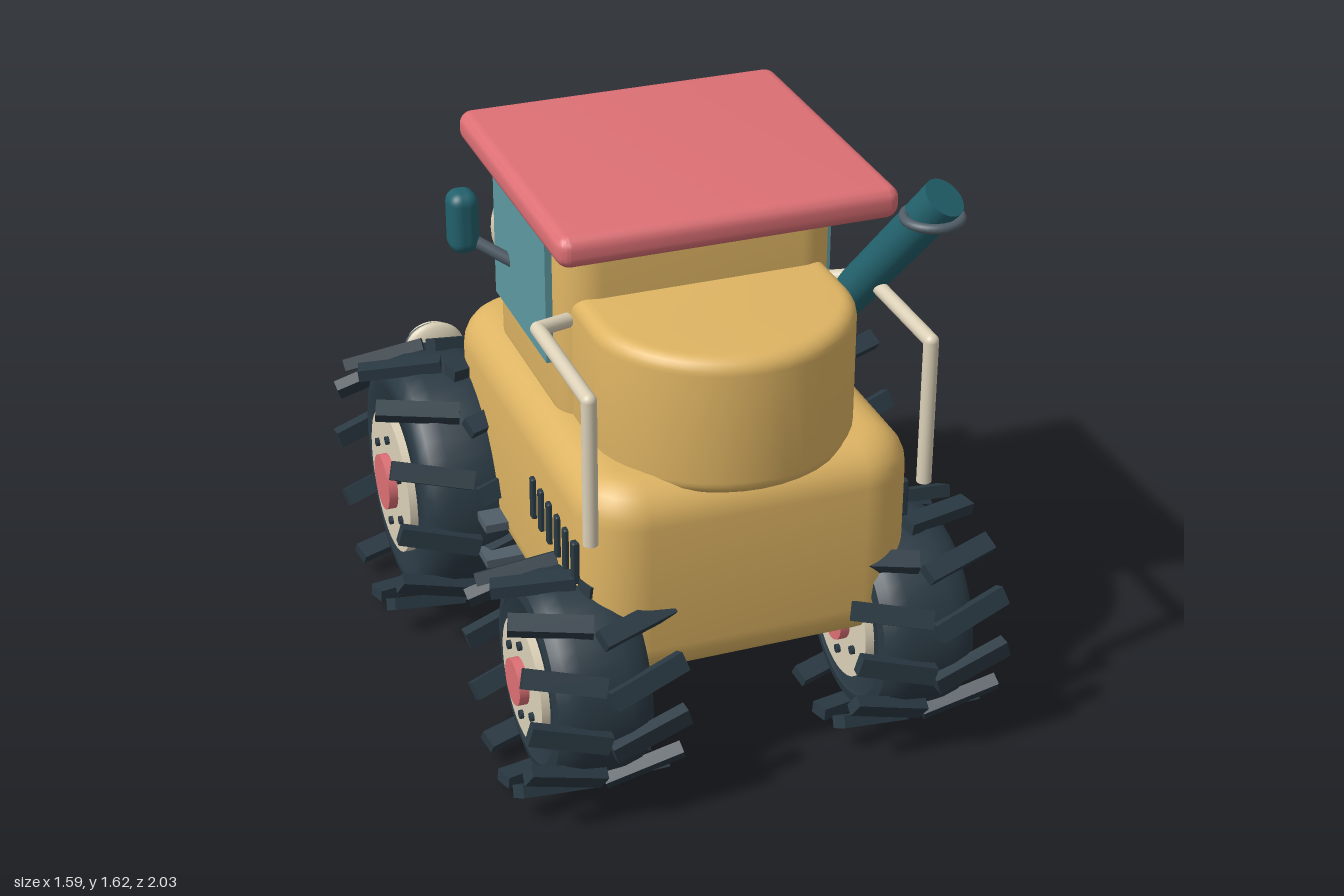
import * as THREE from 'three';
import { toCreasedNormals } from 'three/addons/utils/BufferGeometryUtils.js';
import { RoundedBoxGeometry } from 'three/addons/geometries/RoundedBoxGeometry.js';

const paint = (name, color) => {
  const m = new THREE.MeshStandardMaterial({ color });
  m.name = name;
  return m;
};

export function createModel() {
  const yellow = paint('yellow', 0xdeb463), pink = paint('pink', 0xdd7075);
  const teal = paint('teal', 0x22616c), dark = paint('charcoal', 0x2a3943);
  const slate = paint('slate', 0x515e68), cream = paint('cream', 0xdcd1b8);
  const glass = paint('glass', 0x5e9aa2);
  const root = new THREE.Group();
  const V = (x, y, z) => new THREE.Vector3(x, y, z);

  function add(name, geo, mat, x = 0, y = 0, z = 0, parent = root) {
    const mesh = new THREE.Mesh(geo, mat);
    mesh.name = name;
    mesh.position.set(x, y, z);
    parent.add(mesh);
    return mesh;
  }
  const ball = (name, mat, p, r, parent) => {
    const m = add(name, new THREE.SphereGeometry(1, 28, 18), mat, ...p, parent);
    m.scale.set(...r);
    return m;
  };
  // straight round bar between two points
  function rod(name, mat, a, b, r, r2 = r, sides = 20) {
    const d = b.clone().sub(a);
    const m = add(name, new THREE.CylinderGeometry(r2, r, d.length(), sides), mat, ...a.clone().lerp(b, 0.5));
    m.quaternion.setFromUnitVectors(V(0, 1, 0), d.normalize());
    return m;
  }
  // plan outline raised from y0 to y1 with rounded rims
  function block(name, mat, shape, y0, y1, r) {
    const g = new THREE.ExtrudeGeometry(shape, {
      depth: y1 - y0 - 2 * r, bevelThickness: r, bevelSize: r, bevelOffset: -r, bevelSegments: 6, curveSegments: 10,
    });
    g.translate(0, 0, r);
    g.rotateX(-Math.PI / 2);
    return add(name, toCreasedNormals(g, 0.6), mat, 0, y0, 0);
  }
  // rounded rectangle in plan, shape y is -z
  function plan(hx, z0, z1, r) {
    const s = new THREE.Shape(), a = -z1, b = -z0;
    s.moveTo(hx - r, a);
    s.absarc(hx - r, a + r, r, -Math.PI / 2, 0);
    s.absarc(hx - r, b - r, r, 0, Math.PI / 2);
    s.absarc(-hx + r, b - r, r, Math.PI / 2, Math.PI);
    s.absarc(-hx + r, a + r, r, Math.PI, Math.PI * 1.5);
    return s;
  }

  // hull, cab, roof
  block('body', yellow, plan(0.48, -0.445, 0.87, 0.17), 0.36, 0.97, 0.115);
  block('cab', yellow, plan(0.4, -0.245, 0.43, 0.11), 0.9, 1.525, 0.075);
  block('roof', pink, plan(0.482, -0.285, 0.645, 0.04), 1.535, 1.625, 0.035);

  // bowed engine cover
  const bow = new THREE.Shape();
  bow.moveTo(0.37, -0.3);
  bow.lineTo(-0.37, -0.3);
  bow.lineTo(-0.37, -0.58);
  bow.bezierCurveTo(-0.36, -0.74, -0.2, -0.9, 0, -0.9);
  bow.bezierCurveTo(0.2, -0.9, 0.36, -0.74, 0.37, -0.58);
  block('engineCover', yellow, bow, 0.92, 1.33, 0.045);

  // windows
  add('windscreen', new THREE.BoxGeometry(0.74, 0.39, 0.02), glass, 0, 1.305, -0.265);
  for (const s of [-1, 1]) add('sideWindow', new THREE.BoxGeometry(0.02, 0.38, 0.47), glass, s * 0.41, 1.29, 0.085);

  // eyes
  for (const s of [-1, 1]) {
    ball('eyeOuter', cream, [s * 0.205, 1.205, -0.345], [0.168, 0.17, 0.065]);
    ball('eyeInner', cream, [s * 0.2, 1.225, -0.39], [0.118, 0.13, 0.065]);
    ball('pupil', dark, [s * 0.188, 1.235, -0.437], [0.055, 0.075, 0.045]);
    ball('eyeGlint', cream, [s * 0.188 + 0.015, 1.265, -0.472], [0.014, 0.016, 0.012]);
  }

  // mouth
  const mouth = ball('mouth', dark, [0, 0.985, -0.365], [0.105, 0.058, 0.022]);
  mouth.rotation.x = 0.12;
  ball('tongue', pink, [0, 0.958, -0.385], [0.06, 0.026, 0.014]);

  // wheels with chevron lugs
  function wheel(name, x, y, z, R, w, rimR, hubR, boltR, lugs) {
    const g = new THREE.Group();
    g.name = name;
    g.position.set(x, y, z);
    root.add(g);
    const half = [[rimR * 0.95, 0.84], [rimR + 0.015, 0.95], [R * 0.76, 0.96], [R * 0.79, 1], [R * 0.9, 0.96], [R * 0.97, 0.78], [R, 0.45]];
    const pts = [...half.map(([r, t]) => new THREE.Vector2(r, -t * w)),
      ...half.slice().reverse().map(([r, t]) => new THREE.Vector2(r, t * w))];
    const tyre = toCreasedNormals(new THREE.LatheGeometry(pts, 40), 0.7);
    const lay = (geo) => geo.rotateZ(Math.PI / 2);
    add('tyre', lay(tyre), dark, 0, 0, 0, g);
    add('rim', lay(new THREE.CylinderGeometry(rimR, rimR, 2 * w + 0.025, 36)), cream, 0, 0, 0, g);
    add('hub', lay(new THREE.CylinderGeometry(hubR, hubR, 2 * w + 0.08, 28)), pink, 0, 0, 0, g);
    for (const s of [-1, 1]) {
      for (let i = 0; i < 6; i++) {
        const a = i * Math.PI / 3;
        add('bolt', lay(new THREE.CylinderGeometry(0.013, 0.013, 0.016, 10)), dark,
          s * (w + 0.015), boltR * Math.cos(a), boltR * Math.sin(a), g);
      }
      for (let i = 0; i < lugs; i++) {
        const spoke = new THREE.Group();
        spoke.name = 'lugMount';
        spoke.rotation.x = (i + (s > 0 ? 0.25 : 0)) * 2 * Math.PI / lugs;
        g.add(spoke);
        const lug = add('lug', new THREE.BoxGeometry(w + 0.09, 0.036, 0.055), dark, s * (w * 0.5 + 0.045), R + 0.004, 0, spoke);
        lug.rotation.set(0, s * 0.3, -s * 0.1);
      }
    }
  }
  for (const s of [-1, 1]) {
    wheel('largeWheel', s * 0.545, 0.415, -0.345, 0.375, 0.155, 0.22, 0.085, 0.14, 12);
    wheel('smallWheel', s * 0.475, 0.34, 0.695, 0.3, 0.14, 0.178, 0.067, 0.113, 12);
  }
  rod('largeAxle', dark, V(-0.45, 0.415, -0.345), V(0.45, 0.415, -0.345), 0.04);
  rod('smallAxle', dark, V(-0.4, 0.4, 0.695), V(0.4, 0.4, 0.695), 0.035);

  for (const s of [-1, 1]) {
    // side vents and steps
    for (let i = 0; i < 6; i++)
      add('vent', new RoundedBoxGeometry(0.022, 0.13, 0.026, 2, 0.006), dark, s * 0.482, 0.715, 0.735 - i * 0.0715);
    for (const y of [0.468, 0.348])
      add('step', new THREE.BoxGeometry(0.14, 0.026, 0.13), slate, s * 0.478, y, 0.045);

    // handrail with mitred corner
    const c = V(s * 0.48, 1.275, 0.862);
    rod('railPost', cream, V(s * 0.48, 0.845, 0.862), c, 0.021);
    rod('railBar', cream, c, V(s * 0.48, 1.275, 0.44), 0.021);
    rod('railEnd', cream, V(s * 0.48, 1.275, 0.44), V(s * 0.38, 1.26, 0.39), 0.021);
    for (const p of [c, V(s * 0.48, 1.275, 0.44)]) ball('railCorner', cream, [p.x, p.y, p.z], [0.021, 0.021, 0.021]);

    // mirrors
    add('mirror', new RoundedBoxGeometry(0.086, 0.185, 0.095, 4, 0.035), teal, s * 0.53, 1.37, -0.09);
    rod('mirrorArm', slate, V(s * 0.4, 1.25, -0.01), V(s * 0.52, 1.32, -0.08), 0.018);
  }

  // leaning exhaust
  rod('exhaust', teal, V(0.405, 1.15, 0.385), V(0.595, 1.59, 0.665), 0.056, 0.062, 28);
  const collar = add('exhaustCollar', new THREE.TorusGeometry(0.078, 0.014, 10, 32), slate, 0.57, 1.53, 0.648);
  collar.rotation.x = Math.PI / 2;

  // front blade, side profile drawn in z and y
  const side = new THREE.Shape([[-0.56, 0.31], [-0.6, 0.273], [-0.77, 0.273], [-0.83, 0.32], [-0.86, 0.4],
    [-0.86, 0.48], [-0.81, 0.545], [-0.62, 0.545], [-0.56, 0.49]].map(([z, y]) => new THREE.Vector2(z, y)));
  const blade = new THREE.ExtrudeGeometry(side, {
    depth: 1.14, bevelThickness: 0.04, bevelSize: 0.04, bevelOffset: -0.04, bevelSegments: 4,
  });
  blade.translate(0, 0, -0.57);
  blade.rotateY(-Math.PI / 2);
  add('blade', toCreasedNormals(blade, 0.75), teal);
  rod('bladeRoller', slate, V(-0.527, 0.43, -0.81), V(0.527, 0.43, -0.81), 0.115, 0.115, 36);

  // teeth and the pegs between them
  for (let i = -2; i <= 2; i++) {
    rod('tooth', yellow, V(i * 0.237, 0.405, -0.88), V(i * 0.237, 0.39, -0.998), 0.028, 0.067, 8);
  }
  for (const x of [-0.35, -0.07, 0.07, 0.35]) rod('peg', cream, V(x, 0.42, -0.9), V(x, 0.42, -0.985), 0.014);

  // lamps on the blade
  for (const s of [-1, 1]) {
    ball('lampBack', slate, [s * 0.438, 0.595, -0.825], [0.09, 0.075, 0.028]);
    ball('lamp', cream, [s * 0.438, 0.6, -0.795], [0.095, 0.085, 0.03]);
    ball('lampFace', cream, [s * 0.438, 0.6, -0.838], [0.08, 0.068, 0.024]);
  }
  return root;
}
